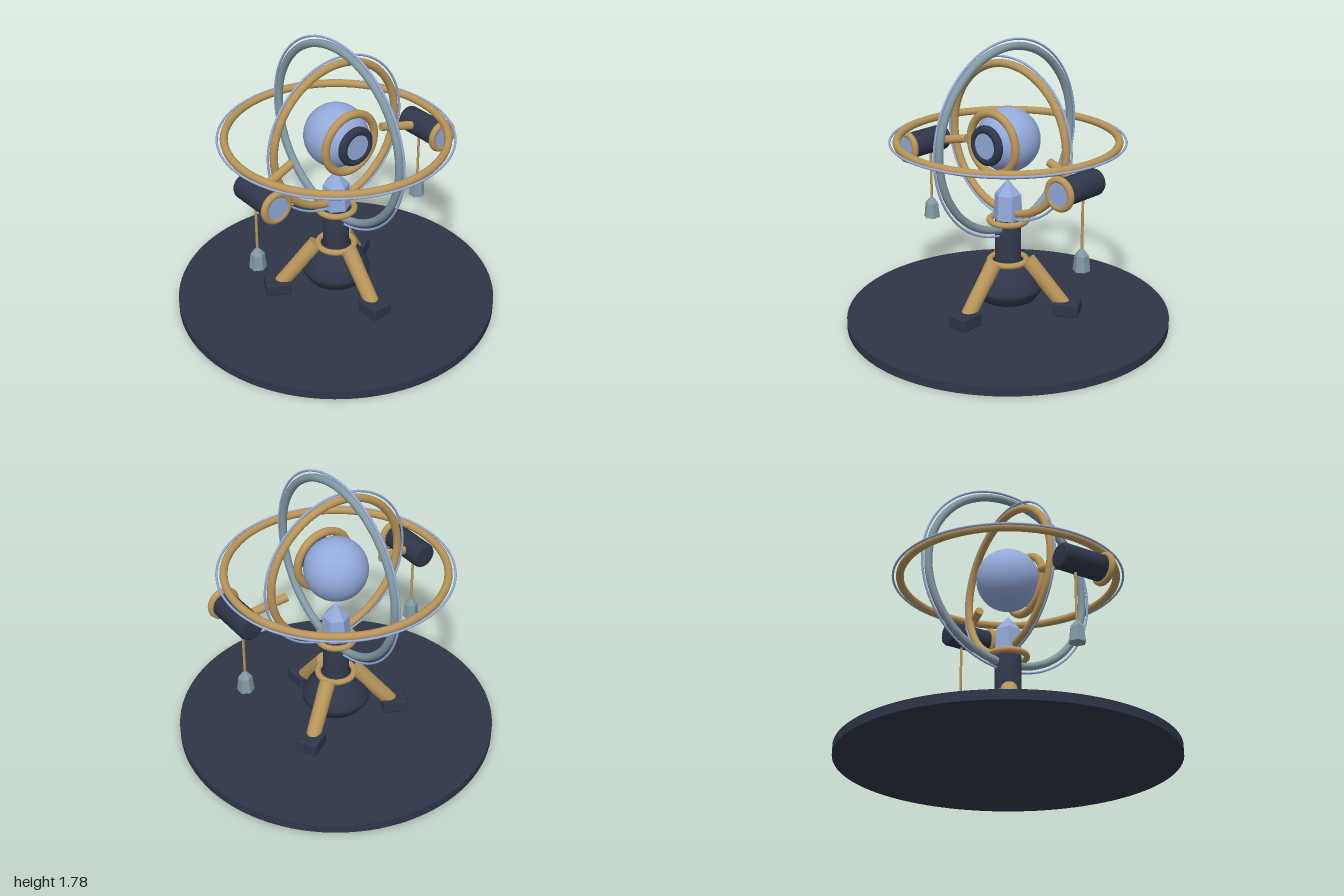
import * as THREE from 'three';
import { RoundedBoxGeometry } from 'three/addons/geometries/RoundedBoxGeometry.js';

const material = (name, color) => {
  const m = new THREE.MeshStandardMaterial({ color });
  m.name = name;
  return m;
};

export function createModel() {
  const dark = material('dark slate', 0x2e3648);
  const gold = material('brass', 0xb8955a);
  const blue = material('pale blue', 0x93a9da);
  const silver = material('grey steel', 0x8299a3);
  const facet = (m) => { // flat-shaded geometry keeps the same colour material
    return (g) => { const n = g.toNonIndexed(); n.computeVertexNormals(); return [n, m]; };
  };

  const model = new THREE.Group();
  model.name = 'orrery';
  const body = new THREE.Group(); // everything above the disc is turned slightly
  body.name = 'instrument';
  body.rotation.y = -0.22;
  model.add(body);

  const add = (name, geometry, mat, x = 0, y = 0, z = 0, parent = body) => {
    const mesh = new THREE.Mesh(geometry, mat);
    mesh.name = name;
    mesh.position.set(x, y, z);
    parent.add(mesh);
    return mesh;
  };
  const torus = (r, t) => new THREE.TorusGeometry(r, t, 12, 80);
  const lathe = (pts, n = 40) =>
    new THREE.LatheGeometry(pts.map(([r, y]) => new THREE.Vector2(r, y)), n);
  // Cylinder running from point a to point b
  const rod = (name, a, b, rA, rB, mat) => {
    const p = new THREE.Vector3(...a), q = new THREE.Vector3(...b);
    const d = q.clone().sub(p);
    const mesh = add(name, new THREE.CylinderGeometry(rB, rA, d.length(), 20), mat);
    mesh.position.copy(p).add(q).multiplyScalar(0.5);
    mesh.quaternion.setFromUnitVectors(new THREE.Vector3(0, 1, 0), d.normalize());
    return mesh;
  };
  // Six-sided faceted gem: bottom at y = 0, sloped body, pointed top
  const gem = (rBottom, rShoulder, shoulder, top) =>
    lathe([[0, 0], [rBottom, 0], [rShoulder, shoulder], [0, top]], 6);
  const addGem = (name, g, mat, x, y, z) => {
    const [geo, m] = facet(mat)(g);
    return add(name, geo, m, x, y, z);
  };

  // Ground disc
  add('baseDisc', new THREE.CylinderGeometry(1, 1, 0.055, 96), dark, 0, 0.0275, 0, model);

  // Pedestal with bulbous foot and two collars
  add('pedestal', lathe([[0, 0.15], [0.16, 0.15], [0.175, 0.155], [0.212, 0.21], [0.212, 0.235],
    [0.18, 0.3], [0.12, 0.37], [0.08, 0.41], [0.08, 0.66], [0, 0.66]]), dark);
  for (const y of [0.395, 0.66]) {
    add('collar', torus(0.113, 0.019), gold, 0, y).rotation.x = Math.PI / 2;
  }

  // Three legs with block feet
  for (let i = 0; i < 3; i++) {
    const a = (i * Math.PI * 2) / 3, s = Math.sin(a), c = Math.cos(a);
    rod('leg', [0.36 * s, 0.12, 0.36 * c], [0.125 * s, 0.405, 0.125 * c], 0.046, 0.05, gold);
    add('foot', new RoundedBoxGeometry(0.14, 0.087, 0.16, 2, 0.014), dark,
      0.375 * s, 0.116, 0.375 * c).rotation.y = a;
  }

  // Crystal on top of the pedestal
  addGem('crystal', gem(0.092, 0.082, 0.155, 0.25), blue, 0, 0.672, 0);

  // Three nested rings, each with a thin outer trim
  const cy = 1.17, q = Math.PI / 2;
  [[0.459, gold, 0, 0], [0.56, silver, 0, q], [0.662, gold, q, 0]].forEach(([r, mat, rx, ry]) => {
    const ring = new THREE.Group();
    ring.name = 'armillaryRing';
    ring.position.y = cy;
    ring.rotation.set(rx, ry, 0);
    body.add(ring);
    add('ringBand', torus(r, 0.024), mat, 0, 0, 0, ring);
    add('ringTrim', torus(r + 0.042, 0.007), blue, 0, 0, 0, ring);
  });

  // Central eye
  add('eyeball', new THREE.SphereGeometry(0.195, 40, 28), blue, 0, cy);
  add('eyeRim', torus(0.184, 0.025), gold, 0, cy, 0.13);
  add('iris', torus(0.096, 0.027), dark, 0, cy, 0.18);
  add('pupil', new THREE.CylinderGeometry(0.078, 0.078, 0.03, 32), blue, 0, cy, 0.184).rotation.x = q;

  // Mirrored telescopes with arms and hanging weights
  for (const s of [-1, 1]) {
    const x = 0.632 * s, y = 1.043;
    add('scopeTube', lathe([[0, -0.065], [0.06, -0.065], [0.074, -0.058], [0.08, -0.045],
      [0.08, 0.255], [0, 0.255]]), dark, x, y).rotation.x = q;
    add('scopeRim', torus(0.082, 0.021), gold, x, y, 0.25);
    add('scopeLens', new THREE.CylinderGeometry(0.068, 0.068, 0.02, 32), blue, x, y, 0.255).rotation.x = q;
    rod('scopeArm', [0.345 * s, 1.105, 0.01], [0.6 * s, 1.05, 0.06], 0.026, 0.026, gold);
    rod('weightCord', [x, 0.98, 0.048], [x, 0.65, 0.048], 0.008, 0.008, gold);
    addGem('weight', gem(0.052, 0.042, 0.095, 0.145), silver, x, 0.527, 0.048);
  }

  return model;
}
